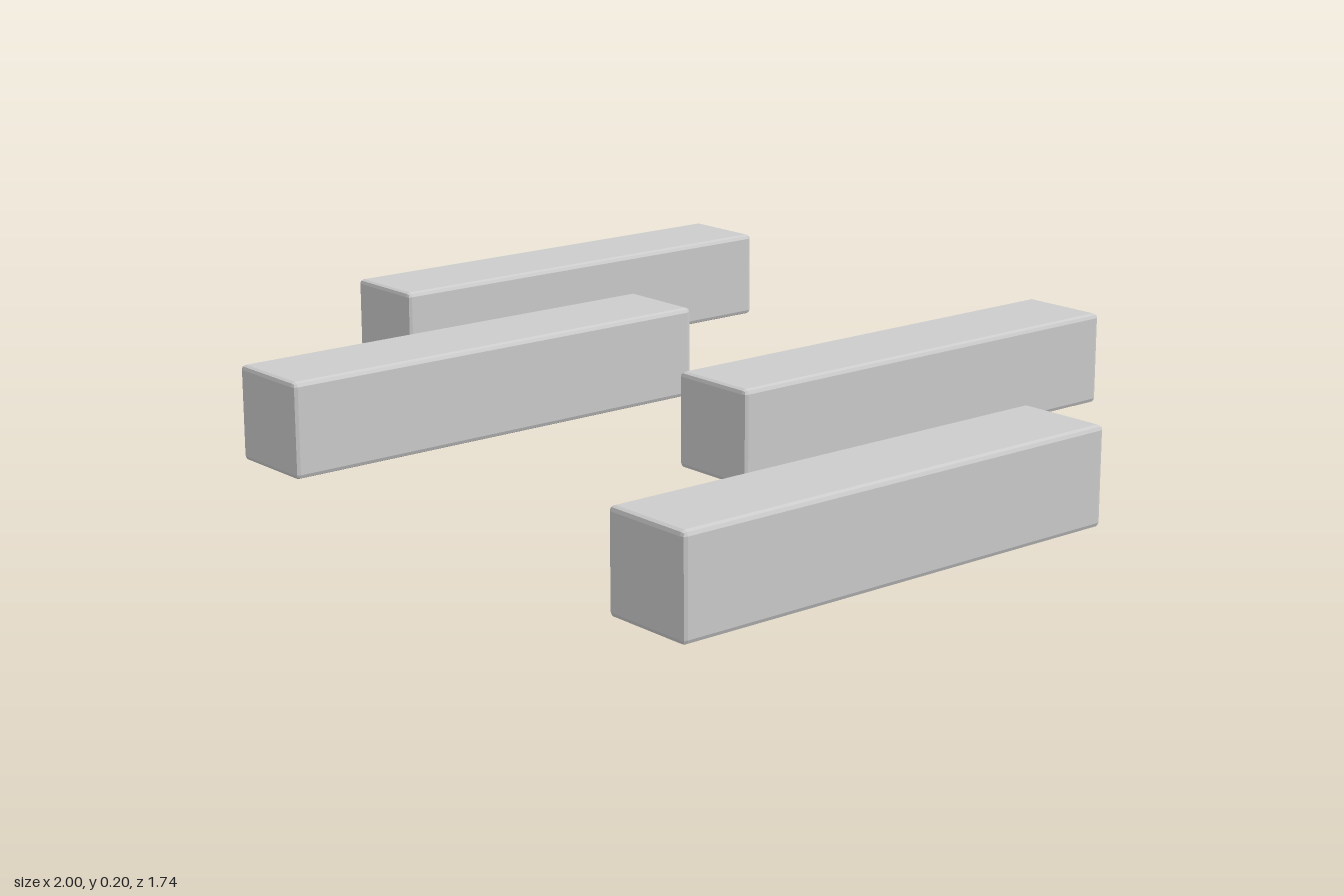
import * as THREE from 'three';
import { RoundedBoxGeometry } from 'three/addons/geometries/RoundedBoxGeometry.js';

const SIZE = 0.205;   // width and height of each bar
const LENGTH = 1.05;
const BEVEL = 0.01;

// Centre of each bar on the ground: [x, z]
const CENTRES = [[-0.897, -0.334], [-0.369, 0.311], [0.262, -0.347], [0.897, 0.346]];

export function createModel() {
  const model = new THREE.Group();
  model.name = 'staggeredBars';
  const material = new THREE.MeshStandardMaterial({ color: 0xcccccc, flatShading: true });

  // Square bar with narrow chamfered edges, shared by all four
  const geometry = new RoundedBoxGeometry(SIZE, SIZE, LENGTH, 1, BEVEL);

  CENTRES.forEach(([x, z], i) => {
    const bar = new THREE.Mesh(geometry, material);
    bar.name = `bar${i + 1}`;
    bar.position.set(x, SIZE / 2, z);
    model.add(bar);
  });
  return model;
}
